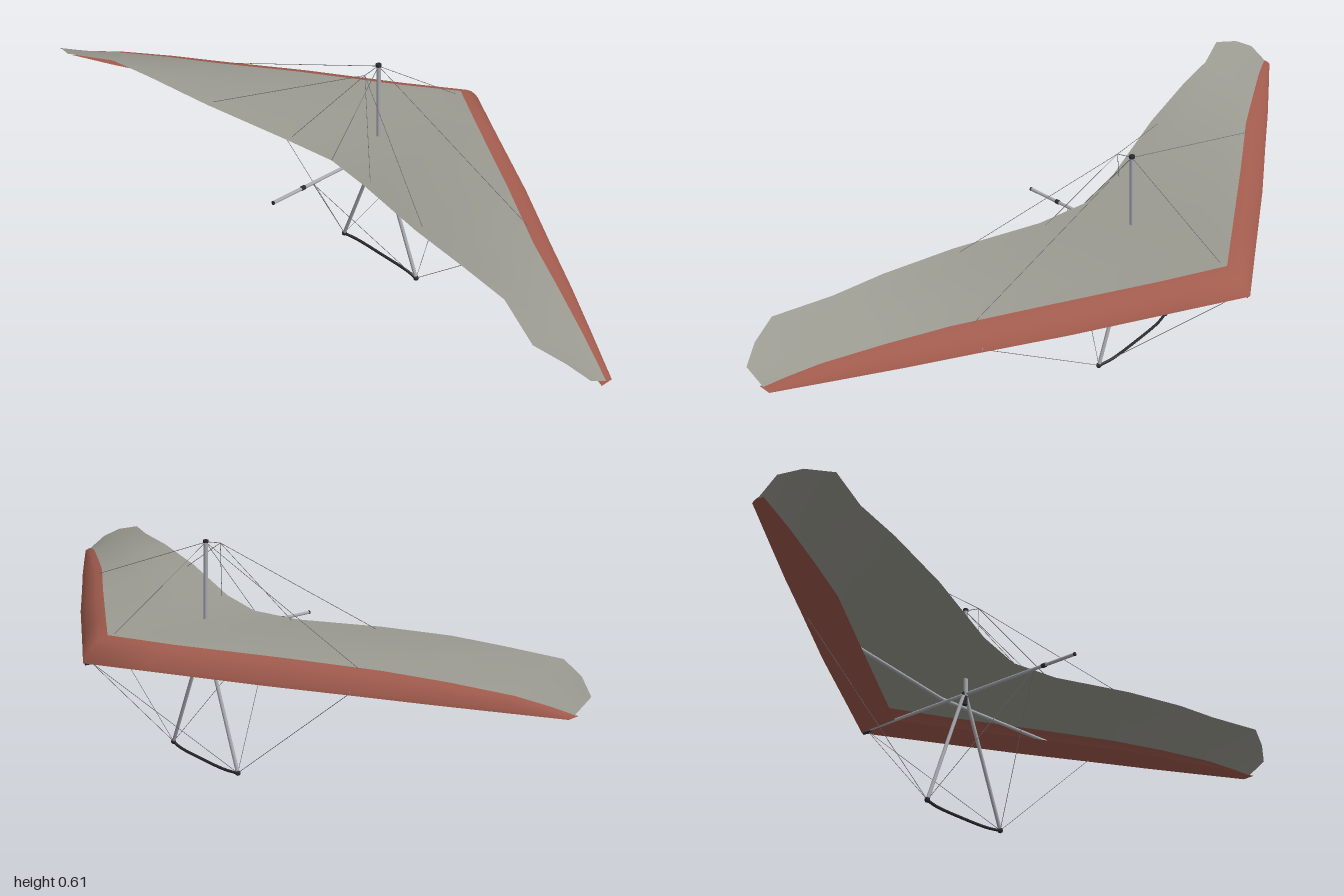
import * as THREE from 'three';

const mat = (name, color, side = THREE.FrontSide) => {
  const m = new THREE.MeshStandardMaterial({ color, side });
  m.name = name;
  return m;
};

// Half-span stations: x, leading z, band rear z, trailing z, band top y, trailing y
const HALF = [
  [0, -0.385, -0.31, 0.165, 0.413, 0.395],
  [0.15, -0.292, -0.217, 0.19, 0.408, 0.401],
  [0.4, -0.138, -0.062, 0.258, 0.407, 0.428],
  [0.6, -0.006, 0.066, 0.298, 0.402, 0.446],
  [0.74, 0.085, 0.143, 0.322, 0.396, 0.451],
  [0.877, 0.178, 0.218, 0.383, 0.385, 0.441],
  [0.95, 0.228, 0.256, 0.36, 0.372, 0.422],
  [1, 0.262, 0.282, 0.335, 0.36, 0.392],
];
const STATIONS = [
  ...HALF.slice(1).reverse().map(([x, ...r]) => [-x, ...r]),
  ...HALF,
];
const BASE = 0.353;

// Loft a sheet across the span; section(station) gives [y, z] points from front to rear
function sheet(name, section, material) {
  const rows = STATIONS.map((s) => section(s).map(([y, z]) => [s[0], y, z]));
  const n = rows[0].length;
  const index = [];
  for (let i = 0; i < rows.length - 1; i++) {
    for (let j = 0; j < n - 1; j++) {
      const a = i * n + j, b = a + n;
      index.push(a, a + 1, b, b, a + 1, b + 1);
    }
  }
  const g = new THREE.BufferGeometry();
  g.setAttribute('position', new THREE.Float32BufferAttribute(rows.flat(2), 3));
  g.setIndex(index);
  g.computeVertexNormals();
  const m = new THREE.Mesh(g, material);
  m.name = name;
  return m;
}

// Straight rod between two points
function rod(name, a, b, radius, material, sides = 10) {
  const p = new THREE.Vector3(...a), q = new THREE.Vector3(...b);
  const d = q.clone().sub(p);
  const m = new THREE.Mesh(new THREE.CylinderGeometry(radius, radius, d.length(), sides), material);
  m.position.copy(p).add(q).multiplyScalar(0.5);
  m.quaternion.setFromUnitVectors(new THREE.Vector3(0, 1, 0), d.normalize());
  m.name = name;
  return m;
}

export function createModel() {
  const model = new THREE.Group();
  model.name = 'hangGlider';
  const sailCloth = mat('sail grey', 0x9c9b92, THREE.DoubleSide);
  const edgeCloth = mat('leading edge red', 0xa25c4e, THREE.DoubleSide);
  const metal = mat('aluminium', 0xa9abb2);
  const dark = mat('dark fittings', 0x2c2c30);
  const wire = mat('wire', 0x77777a);

  // Sail: main upper surface, rounded leading edge and partial lower surface
  model.add(sheet('sail', ([, , zb, zt, yb, yt]) =>
    [0, 0.25, 0.5, 0.75, 1].map((t) => [yb + (yt - yb) * t, zb + (zt - zb) * t]), sailCloth));
  model.add(sheet('leadingEdge', ([, zl, zb, , yb]) =>
    [[0, 0], [0.05, 0.16], [0.2, 0.42], [0.4, 0.68], [0.65, 0.89], [1, 1]]
      .map(([u, v]) => [BASE + (yb - BASE) * v, zl + (zb - zl) * u]), edgeCloth));
  model.add(sheet('lowerSurface', ([, zl, zb]) =>
    [[BASE, zl], [BASE + 0.002, zl + (zb - zl) * 1.7]], edgeCloth));

  // Keel with rear sleeve and nose fitting
  model.add(rod('keel', [0, 0.356, -0.37], [0, 0.356, 0.362], 0.0045, metal));
  model.add(rod('keelEndCap', [0, 0.356, 0.36], [0, 0.356, 0.364], 0.005, dark));
  model.add(rod('keelSleeve', [0, 0.356, 0.258], [0, 0.356, 0.27], 0.006, dark));
  model.add(rod('noseFitting', [0, 0.35, -0.378], [0, 0.35, -0.35], 0.004, dark));

  // King post
  model.add(rod('kingPost', [0, 0.35, 0], [0, 0.61, 0], 0.006, metal, 14));
  model.add(rod('kingPostCap', [0, 0.608, 0], [0, 0.615, 0], 0.0075, dark, 14));
  model.add(rod('apexBracket', [0, 0.325, -0.003], [0, 0.362, -0.003], 0.007, dark));
  model.add(rod('bridleStrut', [0, 0.61, 0], [0, 0.6, 0.048], 0.001, wire, 5));

  // Control bar
  const barCurve = new THREE.CatmullRomCurve3([
    [-0.145, 0.009, -0.003], [-0.1, 0.007, -0.011], [0, 0.006, -0.013],
    [0.1, 0.007, -0.011], [0.145, 0.009, -0.003],
  ].map((p) => new THREE.Vector3(...p)));
  const bar = new THREE.Mesh(new THREE.TubeGeometry(barCurve, 24, 0.004, 8), dark);
  bar.name = 'baseBar';
  model.add(bar);

  for (const s of [-1, 1]) {
    const corner = [s * 0.145, 0.01, -0.003];
    const junction = [s * 0.58, 0.358, -0.012];
    const top = [0, 0.609, 0];
    const bridle = [0, 0.6, 0.048];
    model.add(rod('downTube', [s * 0.006, 0.35, -0.003], corner, 0.005, metal));
    model.add(rod('crossBar', [0, 0.368, -0.085], junction, 0.005, metal));

    const knuckle = new THREE.Mesh(new THREE.SphereGeometry(0.0075, 10, 8), dark);
    knuckle.position.set(...corner);
    knuckle.name = 'cornerFitting';
    model.add(knuckle);

    // Rigging wires
    const wires = {
      lowerFrontWire: [corner, [0, 0.35, -0.36]],
      lowerRearWire: [corner, [0, 0.353, 0.23]],
      lowerSideWire: [corner, junction],
      upperSideWire: [top, [s * 0.56, 0.404, 0.03]],
      innerBridle: [bridle, [s * 0.15, 0.402, 0.17]],
      outerBridle: [bridle, [s * 0.4, 0.427, 0.235]],
    };
    for (const [name, [a, b]] of Object.entries(wires)) model.add(rod(name, a, b, 0.0008, wire, 5));
  }
  model.add(rod('upperFrontWire', [0, 0.609, 0], [0, 0.412, -0.29], 0.0008, wire, 5));
  model.add(rod('upperRearWire', [0, 0.609, 0], [0, 0.396, 0.165], 0.0008, wire, 5));

  return model;
}
